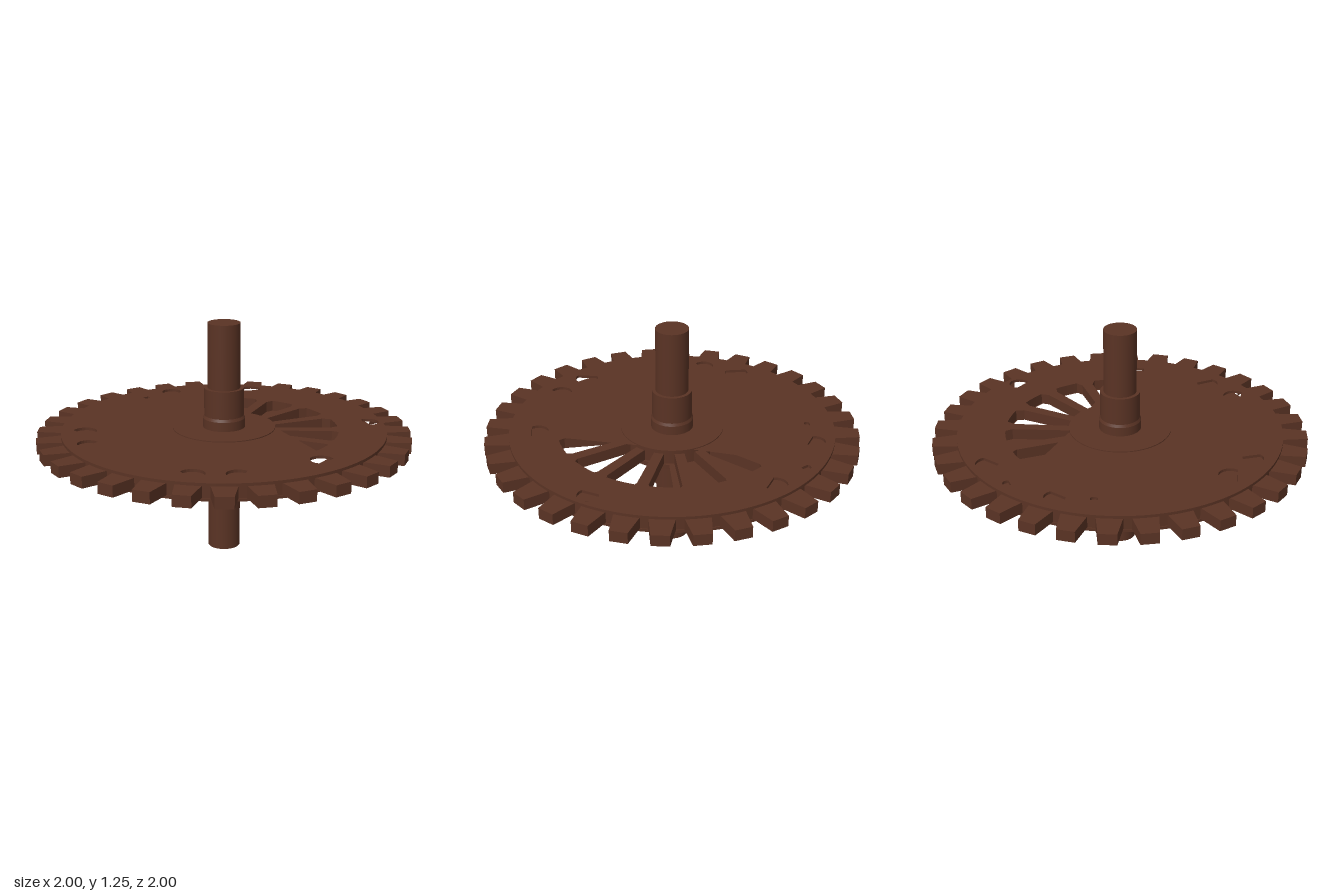
import * as THREE from 'three';

const RAD = Math.PI / 180;
const mat = new THREE.MeshStandardMaterial({ color: 0x5a3324 });

// point at radius r, angle a in degrees, clockwise from the back as seen from above
const polar = (r, a) => new THREE.Vector2(r * Math.sin(a * RAD), r * Math.cos(a * RAD));

function arc(r, a0, a1, n = 24) {
  return Array.from({ length: n + 1 }, (_, i) => polar(r, a0 + (a1 - a0) * i / n));
}

// flat part lying between heights y0 and y1
function slab(name, shape, y0, y1) {
  const geo = new THREE.ExtrudeGeometry(shape, { depth: y1 - y0, bevelEnabled: false, curveSegments: 16 });
  geo.rotateX(-Math.PI / 2);
  geo.translate(0, y0, 0);
  const mesh = new THREE.Mesh(geo, mat);
  mesh.name = name;
  return mesh;
}

// D-shaped lightening hole: a circle cut flat on one side
function dHole(x, z, r, turn) {
  const pts = [];
  for (let i = 0; i <= 14; i++) {
    const a = (turn - 120 + 240 * i / 14) * RAD;
    pts.push(new THREE.Vector2(x + r * Math.cos(a), -z + r * Math.sin(a)));
  }
  return new THREE.Path(pts);
}

// cover plate with one wide window and several small holes
function coverPlate(name, y0, y1, outer, inner, holes) {
  const shape = new THREE.Shape(arc(0.87, 0, 357, 119));
  shape.holes.push(new THREE.Path([
    ...arc(0.615, outer[0], outer[1], 36),
    ...arc(0.27, inner[1], inner[0], 18),
  ]));
  for (const h of holes) shape.holes.push(dHole(...h));
  return slab(name, shape, y0, y1);
}

// toothed wheel with tapered teeth, spokes and rim holes
function toothedWheel() {
  const teeth = 32, step = 360 / teeth, pts = [];
  for (let i = 0; i < teeth; i++) {
    const c = -2.6 + i * step;
    pts.push(polar(0.865, c - 4.3), polar(1, c - 2.6), polar(1, c + 2.6), polar(0.865, c + 4.3));
  }
  const shape = new THREE.Shape(pts);
  const spokes = 16, gap = 360 / spokes;
  for (let i = 0; i < spokes; i++) {
    const a = 20 + i * gap;
    shape.holes.push(new THREE.Path([
      ...arc(0.27, a + 5.5, a + gap - 5.5, 4),
      polar(0.58, a + gap - 3),
      ...arc(0.62, a + gap - 5, a + 5, 6),
      polar(0.58, a + 3),
    ]));
  }
  const rimHoles = [
    [-0.45, -0.64], [0.47, -0.65], [0.71, 0.01], [0.45, 0.64], [-0.62, -0.49],
  ];
  for (const [x, z] of rimHoles) {
    const hole = new THREE.Path();
    hole.absarc(x, -z, 0.06, 0, Math.PI * 2, true);
    shape.holes.push(hole);
  }
  return slab('toothedWheel', shape, 0.605, 0.665);
}

// stepped shaft, each step lathed separately so its edges stay sharp
function shaft() {
  const group = new THREE.Group();
  group.name = 'shaft';
  const profile = [
    [0, 0], [0.087, 0], [0.087, 0.35], [0.106, 0.35], [0.106, 0.50],
    [0.113, 0.515], [0.113, 0.735], [0.106, 0.75], [0.106, 0.90],
    [0.087, 0.90], [0.087, 1.25], [0, 1.25],
  ].map(([r, y]) => new THREE.Vector2(r, y));
  for (let i = 0; i + 1 < profile.length; i++) {
    const mesh = new THREE.Mesh(new THREE.LatheGeometry([profile[i], profile[i + 1]], 48), mat);
    mesh.name = 'shaftSection' + (i + 1);
    group.add(mesh);
  }
  return group;
}

export function createModel() {
  const model = new THREE.Group();
  model.name = 'spokedGearOnShaft';
  model.add(shaft(), toothedWheel());

  // small holes: x, z, radius, direction of the round side
  model.add(coverPlate('topPlate', 0.665, 0.68, [-49.5, 83.5], [-16, 44], [
    [-0.45, -0.63, 0.06, 150], [0.47, -0.64, 0.055, 60], [0.72, 0.01, 0.06, 180],
    [0.59, 0.45, 0.06, 210], [0.44, 0.61, 0.065, 80], [-0.44, 0.60, 0.065, 90],
    [-0.26, 0.71, 0.055, 200], [-0.73, -0.24, 0.055, 150], [-0.63, -0.49, 0.025, 120],
    [-0.73, -0.05, 0.02, 0],
  ]));
  model.add(coverPlate('bottomPlate', 0.59, 0.605, [4, 135], [9, 118], [
    [-0.45, -0.64, 0.06, 330], [0.49, -0.63, 0.055, 0], [0.71, 0.01, 0.055, 0],
    [0.64, 0.40, 0.055, 30], [0.46, 0.65, 0.035, 270], [-0.62, 0.38, 0.055, 200],
    [-0.62, -0.50, 0.04, 300],
  ]));

  // raised discs around the shaft on both faces
  for (const [name, y] of [['topHubDisc', 0.6725], ['bottomHubDisc', 0.5875]]) {
    const disc = new THREE.Mesh(new THREE.CylinderGeometry(0.275, 0.275, 0.025, 64), mat);
    disc.name = name;
    disc.position.y = y;
    model.add(disc);
  }
  return model;
}
